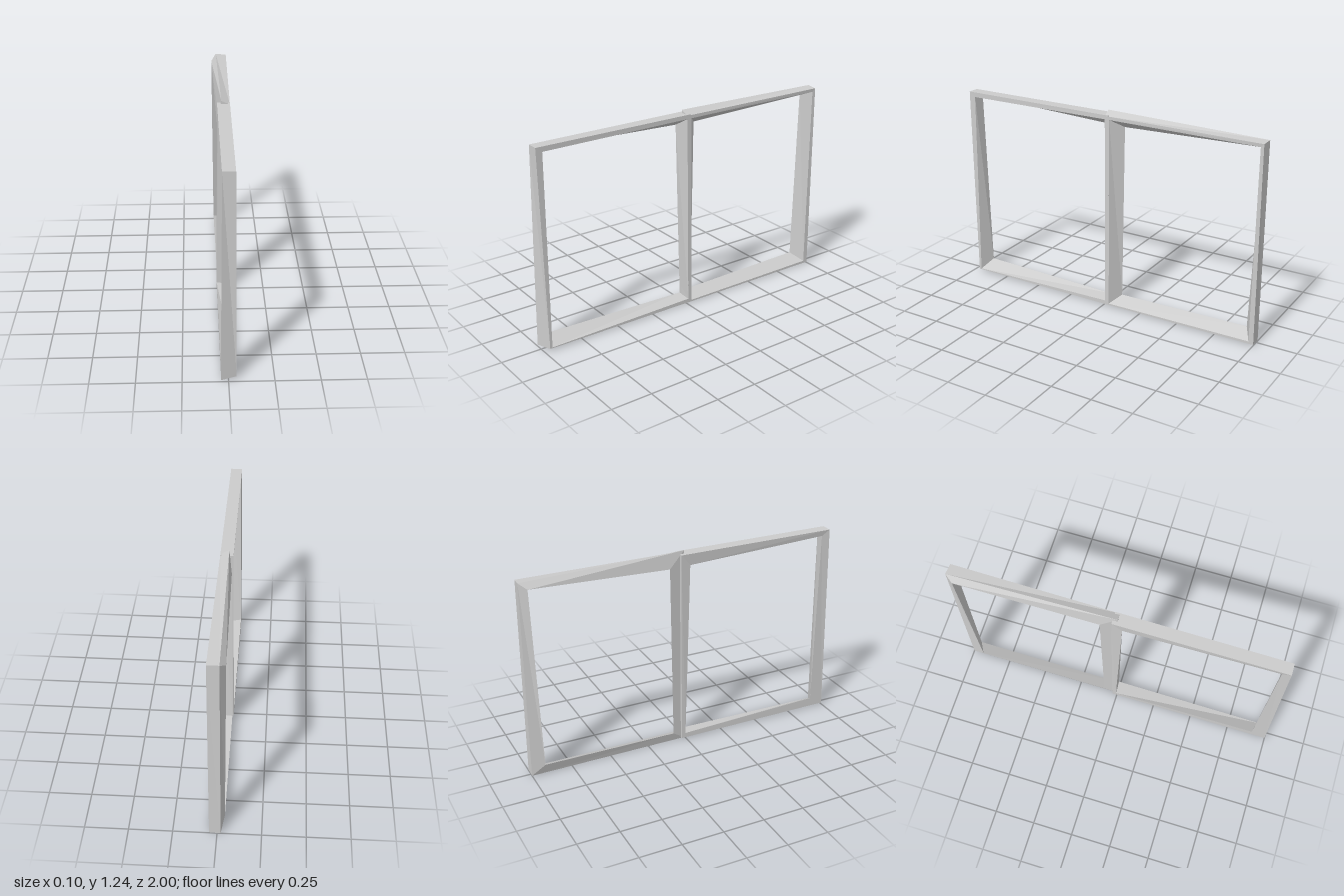
import * as THREE from 'three';

// Closed four-sided ring: each corner lists outer right, inner right,
// inner left and outer left edge points, so the bars can taper and twist.
function ringFrame(name, corners, material) {
  const pos = [];
  const n = corners.length;
  for (let i = 0; i < n; i++) {
    const a = corners[i], b = corners[(i + 1) % n];
    for (let k = 0; k < 4; k++) {
      const m = (k + 1) % 4;
      pos.push(...a[k], ...b[k], ...b[m], ...a[k], ...b[m], ...a[m]);
    }
  }
  const g = new THREE.BufferGeometry();
  g.setAttribute('position', new THREE.Float32BufferAttribute(pos, 3));
  g.computeVertexNormals();
  const mesh = new THREE.Mesh(g, material);
  mesh.name = name;
  return mesh;
}

export function createModel() {
  const group = new THREE.Group();
  group.name = 'windowFrame';
  const material = new THREE.MeshStandardMaterial({
    color: 0xcccccc, flatShading: true, side: THREE.DoubleSide,
  });

  // Front pane: top front, bottom front, bottom middle, top middle
  group.add(ringFrame('frontPaneFrame', [
    [[0.035, 1.22, 0.98], [0.035, 1.19, 0.94], [-0.03, 1.185, 0.93], [-0.035, 1.22, 0.98]],
    [[0.045, 0.01, 0.965], [0.045, 0.015, 0.95], [-0.04, 0.065, 0.91], [-0.04, 0.01, 1.0]],
    [[0.045, 0.005, -0.03], [0.045, 0.03, -0.01], [-0.04, 0.04, -0.005], [-0.04, 0.01, -0.03]],
    [[0.04, 1.22, -0.03], [0.04, 1.195, -0.005], [-0.03, 1.15, 0.03], [-0.035, 1.22, -0.03]],
  ], material));

  // Back pane: top middle, bottom middle, bottom back, top back
  group.add(ringFrame('backPaneFrame', [
    [[0.04, 1.215, -0.005], [0.04, 1.195, -0.035], [-0.03, 1.145, -0.10], [-0.01, 1.24, 0]],
    [[0.045, 0.005, -0.01], [0.045, 0.015, -0.035], [-0.035, 0.055, -0.085], [-0.02, 0, -0.005]],
    [[0.045, 0.005, -1.0], [0.045, 0.02, -0.97], [-0.04, 0.065, -0.92], [-0.02, 0, -1.0]],
    [[0.047, 1.215, -0.995], [0.045, 1.195, -0.975], [-0.05, 1.185, -0.955], [-0.02, 1.22, -1.0]],
  ], material));

  return group;
}
